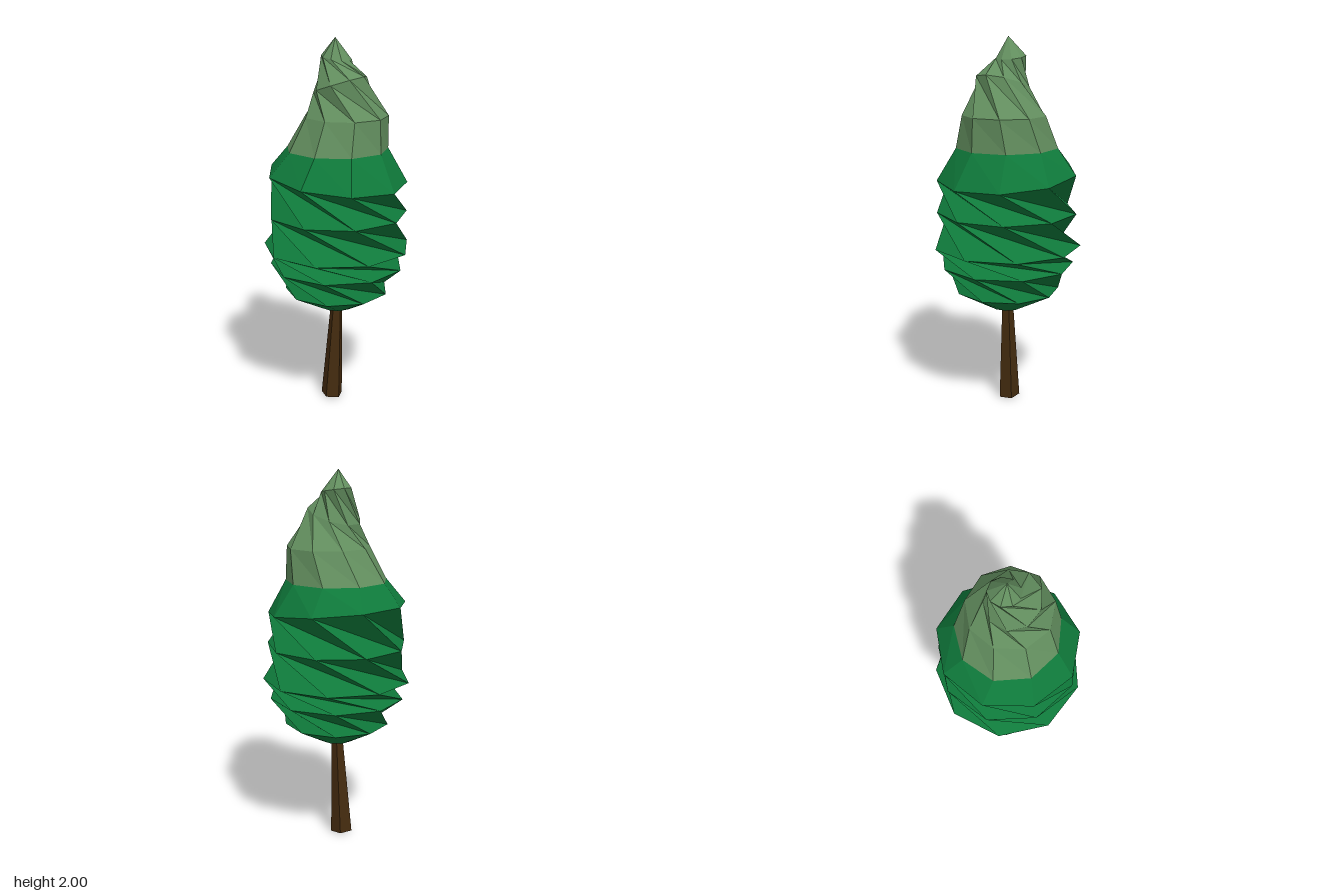
import * as THREE from 'three';

const SIDES = 9;

// Corner points of one ring: height, radius, turn in degrees, centre offset, tilt along x
function ringPoints({ y, r, turn, x = 0, z = 0, tilt = 0 }, sides) {
  return Array.from({ length: sides }, (_, i) => {
    const a = THREE.MathUtils.degToRad(turn) + (i / sides) * Math.PI * 2;
    const dx = Math.cos(a) * r;
    return [x + dx, y + tilt * dx, z + Math.sin(a) * r];
  });
}

// Skin a stack of rings; large turns between rings give the wrung, faceted folds
function skin(rings, sides, { bottom = null, tip = null } = {}) {
  const pos = [];
  const tri = (...pts) => pts.forEach((p) => pos.push(...p));
  const rows = rings.map((r) => ringPoints(r, sides));
  for (let k = 0; k < rows.length - 1; k++) {
    const b = rows[k], t = rows[k + 1];
    for (let i = 0; i < sides; i++) {
      const j = (i + 1) % sides;
      tri(b[i], t[i], t[j]);
      tri(b[i], t[j], b[j]);
    }
  }
  const first = rows[0], last = rows[rows.length - 1];
  for (let i = 0; i < sides; i++) {
    const j = (i + 1) % sides;
    if (bottom) tri(bottom, first[i], first[j]);
    if (tip) tri(last[i], tip, last[j]);
  }
  const geo = new THREE.BufferGeometry();
  geo.setAttribute('position', new THREE.Float32BufferAttribute(pos, 3));
  geo.computeVertexNormals();
  return geo;
}

function material(name, color) {
  const m = new THREE.MeshStandardMaterial({ color, flatShading: true });
  m.name = name;
  return m;
}

export function createModel() {
  const tree = new THREE.Group();
  tree.name = 'tree';
  const add = (name, geo, mat) => {
    const mesh = new THREE.Mesh(geo, mat);
    mesh.name = name;
    tree.add(mesh);
  };

  // Leaning, tapered trunk
  add('trunk', skin([
    { y: 0.008, r: 0.06, turn: 20, x: -0.028, z: 0.01, tilt: -0.08 },
    { y: 0.6, r: 0.03, turn: 20 },
  ], 5, { bottom: [-0.028, 0.008, 0.01] }), material('bark brown', 0x442b0f));

  // Twisted lower foliage
  const seam = { y: 1.425, r: 0.272, turn: 164 };
  add('lowerFoliage', skin([
    { y: 0.54, r: 0.08, turn: 10 },
    { y: 0.645, r: 0.28, turn: -10 },
    { y: 0.79, r: 0.36, turn: 30 },
    { y: 0.893, r: 0.397, turn: 75.6 },
    { y: 1.08, r: 0.376, turn: 125.6 },
    { y: 1.275, r: 0.374, turn: 168.5, tilt: -0.1 },
    seam,
  ], SIDES, { bottom: [0, 0.54, 0] }), material('deep green', 0x0f7a3b));

  // Pale crown, swaying off centre towards a pointed tip
  add('crown', skin([
    seam,
    { y: 1.6, r: 0.222, turn: 169, x: 0.045, z: -0.018 },
    { y: 1.765, r: 0.14, turn: 200, x: 0.025, z: 0.01, tilt: 0.33 },
    { y: 1.895, r: 0.08, turn: 240, x: -0.012, z: -0.015, tilt: -0.15 },
  ], SIDES, { tip: [-0.01, 2, 0] }), material('pale green', 0x638f5f));

  return tree;
}
